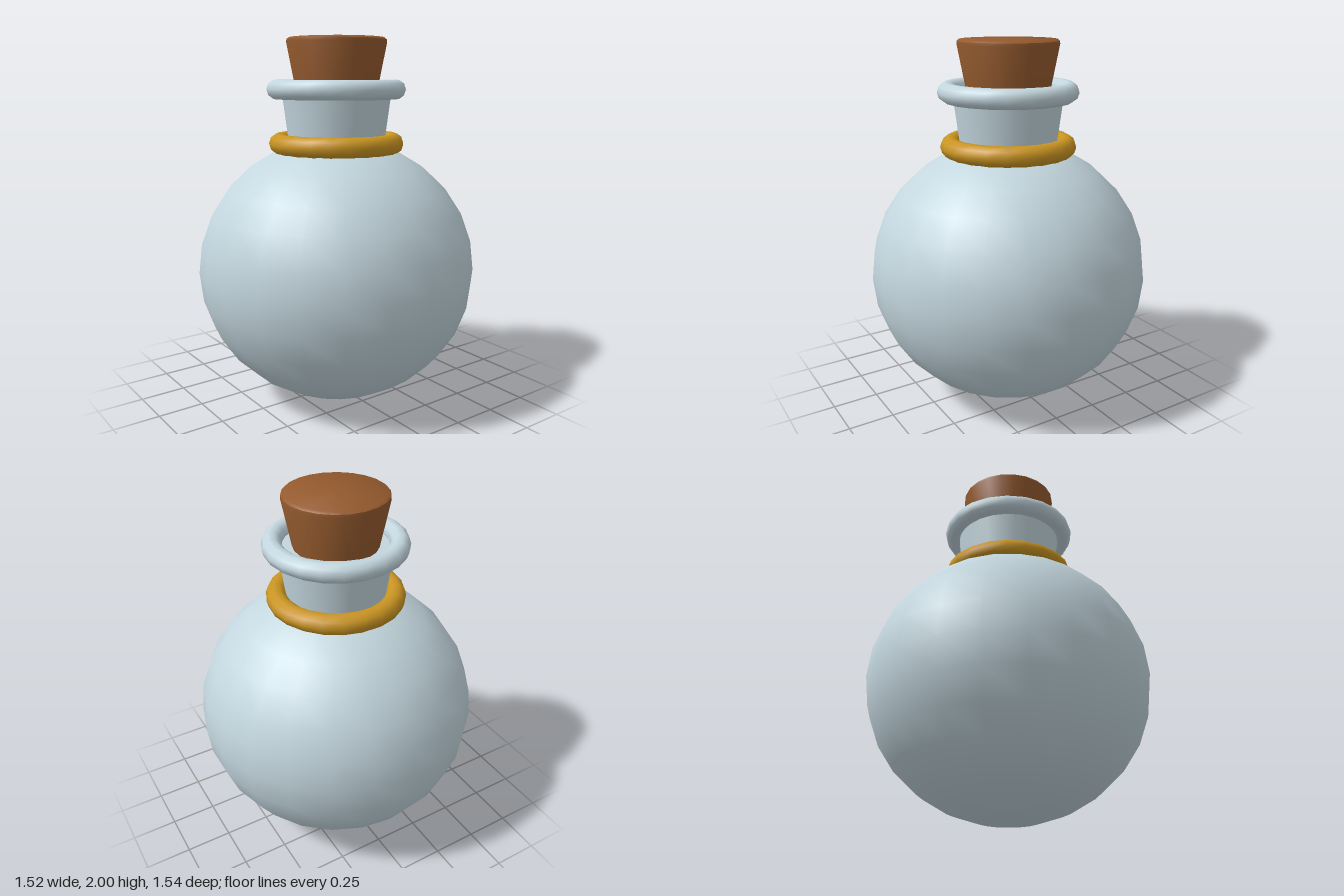
import * as THREE from 'three';
import { toCreasedNormals } from 'three/addons/utils/BufferGeometryUtils.js';

const SIDES = 22;

export function createModel() {
  const group = new THREE.Group();
  const material = (name, color) => {
    const m = new THREE.MeshStandardMaterial({ color });
    m.name = name;
    return m;
  };
  const glass = material('paleBlueGlass', 0xc3d6de);
  const gold = material('gold', 0xc99422);
  const cork = material('corkBrown', 0x945a2e);

  const add = (name, geometry, mat, y) => {
    const mesh = new THREE.Mesh(geometry, mat);
    mesh.name = name;
    mesh.position.y = y;
    group.add(mesh);
    return mesh;
  };
  const ring = (name, radius, tube, mat, y) => {
    const geometry = new THREE.TorusGeometry(radius, tube, 10, SIDES);
    geometry.rotateX(-Math.PI / 2);
    add(name, geometry, mat, y);
  };

  // Round flask, slightly squashed, with a corner column facing front
  const body = new THREE.SphereGeometry(0.77, SIDES, 14);
  body.rotateY(Math.PI / 2);
  body.scale(1, 0.7325 / 0.77, 1);
  add('flaskBody', body, glass, 0.7325);

  // Neck widens towards the lip
  add('neck', new THREE.CylinderGeometry(0.3, 0.26, 0.31, SIDES), glass, 1.565);
  ring('lip', 0.327, 0.053, glass, 1.728);
  ring('collar', 0.315, 0.056, gold, 1.436);

  // Tapered stopper with a small bevel on top
  const profile = [[0, 1.68], [0.215, 1.68], [0.272, 1.975], [0.27, 1.99], [0.258, 2], [0, 2]]
    .map(([r, y]) => new THREE.Vector2(r, y));
  add('stopper', toCreasedNormals(new THREE.LatheGeometry(profile, SIDES), 0.7), cork, 0);

  return group;
}
